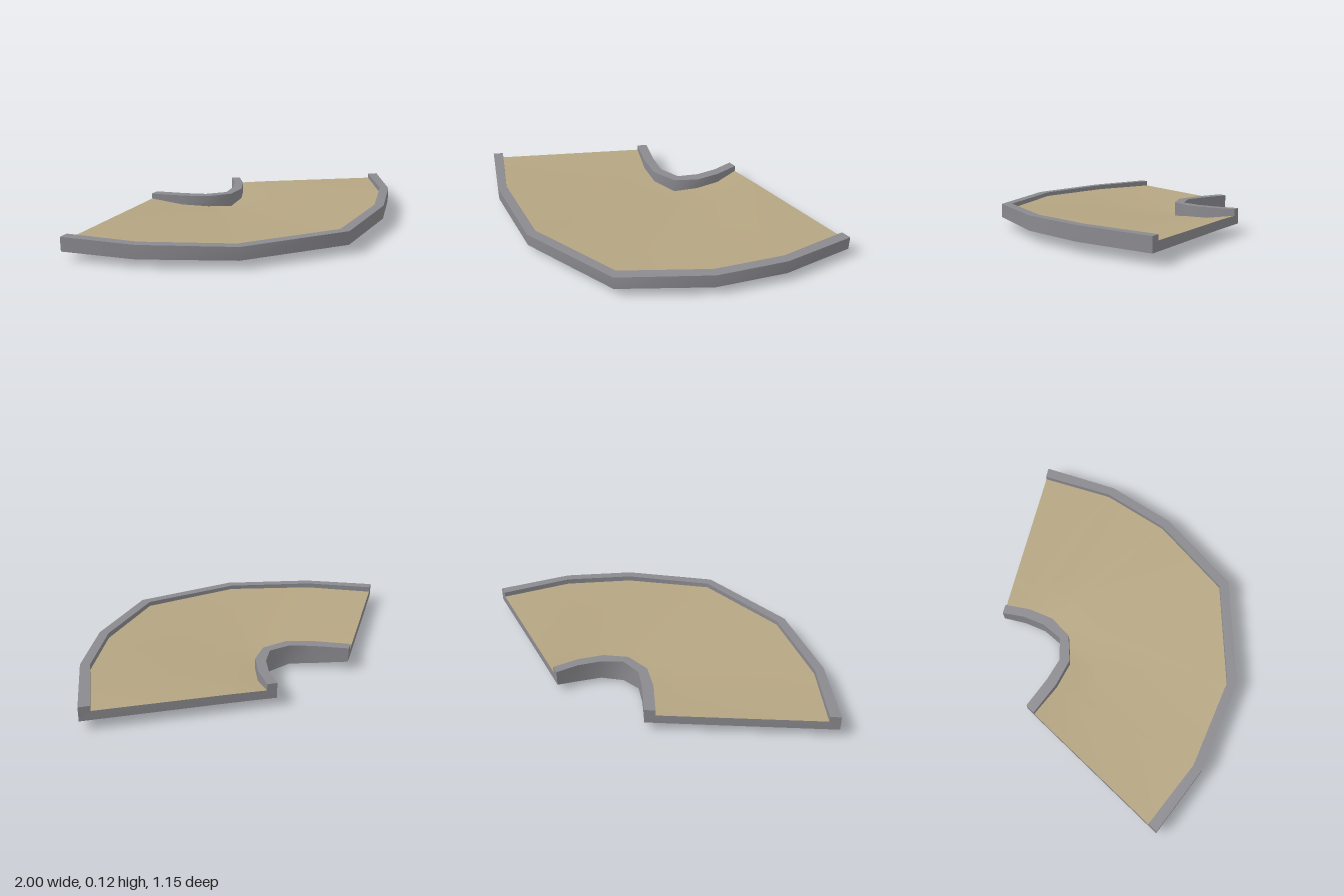
import * as THREE from 'three';

const roadMat = new THREE.MeshStandardMaterial({ color: 0xb5a582 });
roadMat.name = 'sand';
const curbMat = new THREE.MeshStandardMaterial({ color: 0x8b8a8f });
curbMat.name = 'stone grey';

// Plan outlines [x, z], seven stations from right end to left end
const outerRim = [[-1, -0.15], [-0.785, 0.145], [-0.435, 0.44], [0.09, 0.575], [0.51, 0.385], [0.78, 0.16], [1, -0.145]];
const outerLip = [[-0.955, -0.175], [-0.755, 0.11], [-0.415, 0.395], [0.08, 0.525], [0.485, 0.345], [0.75, 0.125], [0.955, -0.17]];
const innerLip = [[-0.295, -0.555], [-0.19, -0.415], [-0.09, -0.32], [0.04, -0.29], [0.15, -0.345], [0.23, -0.44], [0.29, -0.555]];
const innerRim = [[-0.25, -0.58], [-0.15, -0.45], [-0.07, -0.365], [0.04, -0.335], [0.13, -0.395], [0.2, -0.48], [0.25, -0.578]];
const midLine = innerLip.map(([x, z], i) => [x + (outerLip[i][0] - x) * 0.2, z + (outerLip[i][1] - z) * 0.2]);

// Heights at the seven stations
const outerBase = [0.04, 0.04, 0.042, 0.044, 0.048, 0.05, 0.046];
const outerTop = [0.11, 0.107, 0.105, 0.11, 0.117, 0.12, 0.114];
const midBase = [0.04, 0.024, 0.006, 0.01, 0.02, 0.03, 0.043];
const innerBase = [0.04, 0.02, 0.014, 0.0, 0.016, 0.02, 0.04];
const innerTop = [0.111, 0.112, 0.113, 0.112, 0.113, 0.114, 0.114];
const THICK = 0.043;
const raise = (heights) => heights.map((h) => h + THICK);

const row = (plan, heights) => plan.map(([x, z], i) => [x, heights[i], z]);

// Rows around the cross-section
const R = {
  outerBottom: row(outerRim, outerBase),
  outerTop: row(outerRim, outerTop),
  outerLipTop: row(outerLip, outerTop),
  outerFloor: row(outerLip, raise(outerBase)),
  midFloor: row(midLine, raise(midBase)),
  innerFloor: row(innerLip, raise(innerBase)),
  innerLipTop: row(innerLip, innerTop),
  innerTop: row(innerRim, innerTop),
  innerBottom: row(innerRim, innerBase),
  midBottom: row(midLine, midBase),
};

function makeMesh(name, positions, index, material) {
  const g = new THREE.BufferGeometry();
  g.setAttribute('position', new THREE.Float32BufferAttribute(positions.flat(), 3));
  g.setIndex(index);
  g.computeVertexNormals();
  const mesh = new THREE.Mesh(g, material);
  mesh.name = name;
  return mesh;
}

// Smooth skin through successive rows
function loft(name, rows, material) {
  const n = rows[0].length, index = [];
  for (let r = 0; r < rows.length - 1; r++) {
    for (let i = 0; i < n - 1; i++) {
      const a = r * n + i, b = a + n;
      index.push(a, a + 1, b + 1, a, b + 1, b);
    }
  }
  return makeMesh(name, rows.flat(), index, material);
}

// Flat end face made of four quads
function endCap(name, station, flip) {
  const quads = [
    [R.outerBottom, R.outerTop, R.outerLipTop, R.outerFloor],
    [R.outerBottom, R.outerFloor, R.midFloor, R.midBottom],
    [R.midBottom, R.midFloor, R.innerFloor, R.innerBottom],
    [R.innerFloor, R.innerLipTop, R.innerTop, R.innerBottom],
  ];
  const positions = [], index = [];
  quads.forEach((q, k) => {
    q.forEach((r) => positions.push(r[station]));
    const o = k * 4;
    if (flip) index.push(o, o + 2, o + 1, o, o + 3, o + 2);
    else index.push(o, o + 1, o + 2, o, o + 2, o + 3);
  });
  return makeMesh(name, positions, index, curbMat);
}

export function createModel() {
  const model = new THREE.Group();
  model.name = 'curvedTrack';

  // Sagging road surface and its underside
  model.add(loft('roadSurface', [R.outerFloor, R.midFloor, R.innerFloor], roadMat));
  model.add(loft('underside', [R.innerBottom, R.midBottom, R.outerBottom], roadMat));

  // Outer curb
  const outer = new THREE.Group();
  outer.name = 'outerCurb';
  outer.add(loft('outerCurbWall', [R.outerBottom, R.outerTop], curbMat));
  outer.add(loft('outerCurbTop', [R.outerTop, R.outerLipTop], curbMat));
  outer.add(loft('outerCurbInside', [R.outerLipTop, R.outerFloor], curbMat));

  // Inner curb
  const inner = new THREE.Group();
  inner.name = 'innerCurb';
  inner.add(loft('innerCurbInside', [R.innerFloor, R.innerLipTop], curbMat));
  inner.add(loft('innerCurbTop', [R.innerLipTop, R.innerTop], curbMat));
  inner.add(loft('innerCurbWall', [R.innerTop, R.innerBottom], curbMat));
  model.add(outer, inner);

  // End faces
  model.add(endCap('rightEnd', 0, false), endCap('leftEnd', 6, true));
  return model;
}
